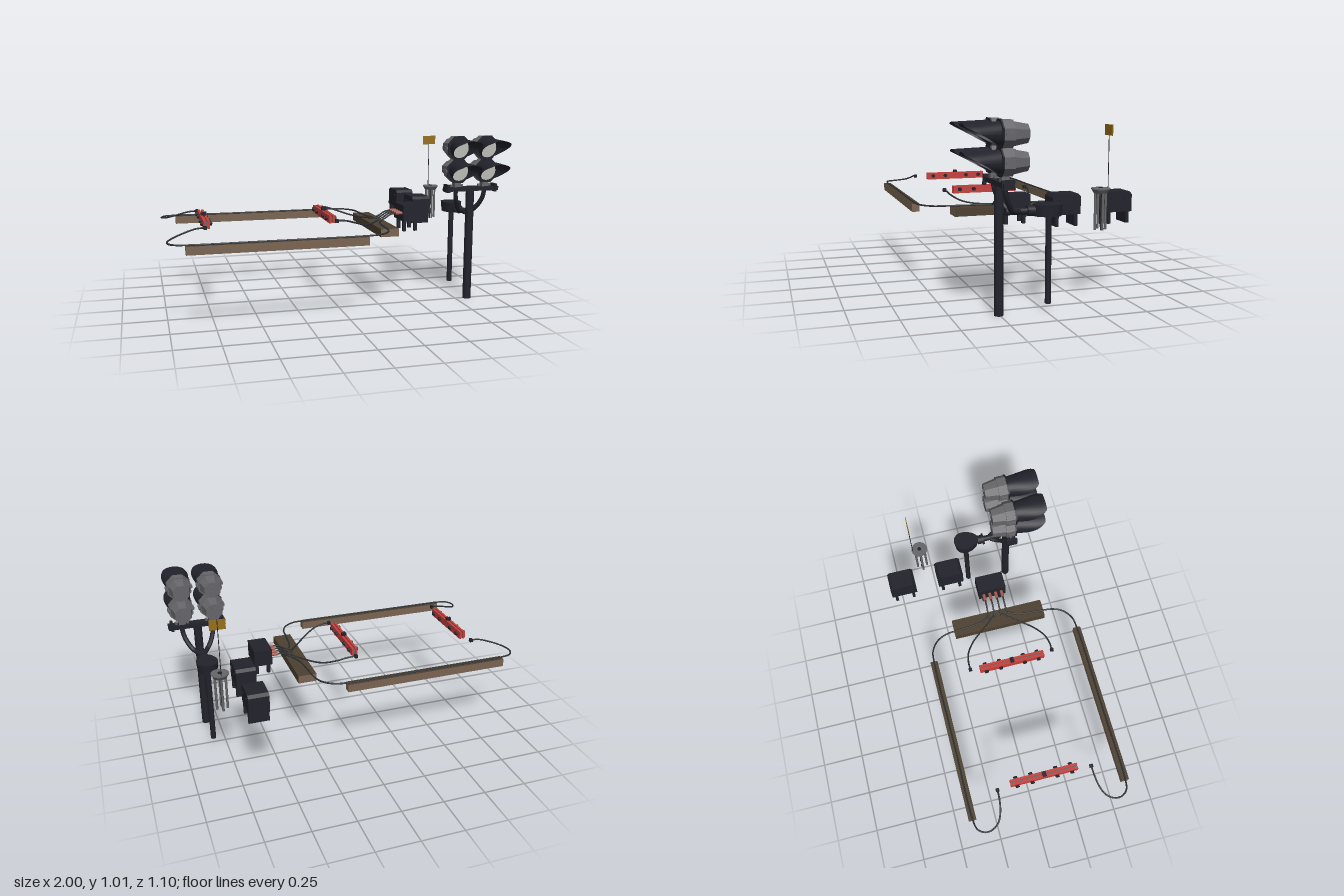
import * as THREE from 'three';

const mat = (name, color, side = THREE.FrontSide) => {
  const m = new THREE.MeshStandardMaterial({ color, side });
  m.name = name;
  return m;
};

export function createModel() {
  const black = mat('dark metal', 0x22222c, THREE.DoubleSide);
  const grey = mat('housing grey', 0x66666a);
  const lensMat = mat('lens', 0xbcbcb6);
  const wood = mat('wood side', 0x7a6452);
  const darkWood = mat('weathered wood', 0x4c4030);
  const red = mat('clamp red', 0xc6403c);
  const copper = mat('plug copper', 0xa85c50);
  const yellow = mat('sign yellow', 0x96701c, THREE.DoubleSide);
  const cableMat = mat('cable', 0x2c2f31);

  const model = new THREE.Group();
  const group = (name, parent = model) => {
    const g = new THREE.Group();
    g.name = name;
    parent.add(g);
    return g;
  };
  const add = (parent, name, geo, m, x = 0, y = 0, z = 0) => {
    const mesh = new THREE.Mesh(geo, m);
    mesh.name = name;
    mesh.position.set(x, y, z);
    parent.add(mesh);
    return mesh;
  };
  // box given by its limits on each axis
  const box = (parent, name, m, x0, x1, y0, y1, z0, z1) =>
    add(parent, name, new THREE.BoxGeometry(x1 - x0, y1 - y0, z1 - z0), m, (x0 + x1) / 2, (y0 + y1) / 2, (z0 + z1) / 2);
  const post = (parent, name, m, r, x, z, y0, y1, sides = 16) =>
    add(parent, name, new THREE.CylinderGeometry(r, r, y1 - y0, sides), m, x, (y0 + y1) / 2, z);
  const tube = (parent, name, m, r, pts, n = 40) => {
    const curve = new THREE.CatmullRomCurve3(pts.map(p => new THREE.Vector3(...p)), false, 'centripetal');
    return add(parent, name, new THREE.TubeGeometry(curve, n, r, 8), m);
  };
  // flat-sided frustum along z, rFront towards +z
  const octagon = (rFront, rBack, depth) => {
    const g = new THREE.CylinderGeometry(rFront, rBack, depth, 8).rotateY(Math.PI / 8).rotateX(Math.PI / 2).toNonIndexed();
    g.computeVertexNormals();
    return g;
  };

  // wooden beams: face order +x -x +y -y +z -z
  const sideWood = [wood, wood, darkWood, darkWood, wood, wood];
  const crossWood = [darkWood, darkWood, darkWood, darkWood, wood, wood];
  box(model, 'frontBeam', sideWood, -0.905, 0.095, 0.435, 0.482, 0.505, 0.55);
  box(model, 'backBeam', sideWood, -0.905, 0.095, 0.435, 0.482, -0.418, -0.373);
  box(model, 'crossBeam', crossWood, 0.225, 0.335, 0.435, 0.482, -0.225, 0.355);

  // cables, mirrored about the track centre line
  const midZ = 0.066;
  for (const s of [1, -1]) {
    const g = group(s > 0 ? 'frontCables' : 'backCables');
    const at = pts => pts.map(([x, y, d]) => [x, y, midZ + s * d]);
    tube(g, 'outerCable', cableMat, 0.005, at([
      [-0.785, 0.54, 0.282], [-0.84, 0.535, 0.284], [-0.91, 0.515, 0.297], [-0.965, 0.498, 0.325], [-0.993, 0.49, 0.37],
      [-0.993, 0.487, 0.41], [-0.965, 0.487, 0.448], [-0.9, 0.486, 0.461], [-0.5, 0.485, 0.461], [0.09, 0.485, 0.461],
      [0.16, 0.486, 0.452], [0.22, 0.486, 0.41], [0.25, 0.487, 0.35], [0.26, 0.487, 0.26], [0.275, 0.487, 0.12], [0.305, 0.49, 0.055]
    ]), 120);
    tube(g, 'innerCable', cableMat, 0.005, at([
      [-0.035, 0.54, 0.258], [0.02, 0.537, 0.257], [0.08, 0.52, 0.243], [0.15, 0.497, 0.2],
      [0.2, 0.488, 0.148], [0.25, 0.487, 0.085], [0.305, 0.49, 0.02]
    ]));
    for (const [x, d] of [[-0.785, 0.282], [-0.032, 0.258]]) {
      const z = midZ + s * d;
      box(g, 'cableEnd', black, x - 0.009, x + 0.009, 0.528, 0.548, z - 0.01, z + 0.01);
    }
  }

  // rail clamps: paired red bars held by cross bolts
  for (const x of [-0.768, -0.045]) {
    const g = group('railClamp');
    for (const s of [-1, 1]) box(g, 'clampBar', red, x + s * 0.011 - 0.007, x + s * 0.011 + 0.007, 0.515, 0.56, -0.135, 0.268);
    box(g, 'clampCore', grey, x - 0.004, x + 0.004, 0.525, 0.55, -0.13, 0.263);
    for (const z of [-0.098, -0.008, 0.142, 0.23]) {
      add(g, 'bolt', new THREE.CylinderGeometry(0.005, 0.005, 0.068, 8).rotateZ(Math.PI / 2), black, x, 0.54, z);
      for (const s of [-1, 1])
        add(g, 'boltHead', new THREE.CylinderGeometry(0.012, 0.012, 0.012, 8).rotateZ(Math.PI / 2), black, x + s * 0.026, 0.54, z);
    }
    box(g, 'topLug', black, x - 0.015, x + 0.015, 0.555, 0.576, 0.056, 0.078);
  }

  // junction box with four plugs and leads
  const junction = group('junctionBox');
  box(junction, 'body', black, 0.437, 0.545, 0.48, 0.578, -0.02, 0.153);
  for (const x of [0.455, 0.527]) for (const z of [0.015, 0.118])
    box(junction, 'leg', black, x - 0.01, x + 0.01, 0.415, 0.48, z - 0.01, z + 0.01);
  [0.01, 0.048, 0.086, 0.124].forEach((z, i) => {
    add(junction, 'plug', new THREE.CylinderGeometry(0.01, 0.01, 0.042, 10).rotateZ(Math.PI / 2), copper, 0.417, 0.53, z);
    const end = midZ + (i - 1.5) * 0.04;
    tube(junction, 'lead', cableMat, 0.005, [[0.4, 0.53, z], [0.365, 0.526, z], [0.325, 0.502, (z + end) / 2], [0.285, 0.488, end]], 20);
  });

  // relay cabinets with chamfered roofs on plate legs
  const profile = new THREE.Shape([[-0.081, 0], [0.081, 0], [0.081, 0.096], [0.066, 0.112], [-0.066, 0.112], [-0.081, 0.096]]
    .map(p => new THREE.Vector2(...p)));
  for (const z of [-0.168, -0.473]) {
    const g = group('relayCabinet');
    const geo = new THREE.ExtrudeGeometry(profile, { depth: 0.116, bevelEnabled: false }).translate(0, 0, -0.058).rotateY(Math.PI / 2);
    add(g, 'body', geo, black, 0.645, 0.48, z);
    for (const s of [-1, 1]) {
      box(g, 'legPlate', black, 0.587, 0.703, 0.417, 0.482, z + s * 0.055 - 0.009, z + s * 0.055 + 0.009);
      for (const t of [-1, 1]) box(g, 'hinge', black, 0.645 + t * 0.06 - 0.004, 0.645 + t * 0.06 + 0.004, 0.55, 0.562, z + s * 0.04 - 0.006, z + s * 0.04 + 0.006);
    }
  }

  // antenna stand: dish on four legs, mast and sign
  const stand = group('antennaStand');
  const sx = 0.802, sz = -0.317;
  add(stand, 'dish', new THREE.CylinderGeometry(0.05, 0.036, 0.022, 24), grey, sx, 0.616, sz);
  add(stand, 'dishRim', new THREE.CylinderGeometry(0.05, 0.05, 0.006, 24), grey, sx, 0.629, sz);
  add(stand, 'dishCap', new THREE.CylinderGeometry(0.012, 0.012, 0.004, 12), black, sx, 0.633, sz);
  for (const [dx, dz] of [[0, 0.03], [0, -0.03], [0.03, 0], [-0.03, 0]])
    post(stand, 'standLeg', grey, 0.007, sx + dx, sz + dz, 0.41, 0.61, 8);
  tube(stand, 'standCable', cableMat, 0.005, [[sx, 0.605, sz], [sx, 0.55, sz + 0.004], [sx, 0.49, sz - 0.006], [sx, 0.45, sz], [sx, 0.405, sz - 0.008]]);
  post(stand, 'mast', black, 0.0022, sx, -0.36, 0.63, 0.965, 6);
  box(stand, 'sign', yellow, 0.758, 0.846, 0.908, 0.965, -0.361, -0.357);

  // egg-shaped sensor head on its own post
  const cx = 0.825;
  const sensor = group('sensorPost');
  post(sensor, 'post', black, 0.016, cx, -0.015, 0.04, 0.51);
  const egg = new THREE.CylinderGeometry(1, 0.9, 0.062, 32);
  const p = egg.attributes.position;
  for (let i = 0; i < p.count; i++) p.setXYZ(i, p.getX(i) * 0.062 * (1 - 0.2 * p.getZ(i)), p.getY(i), p.getZ(i) * 0.08);
  egg.computeVertexNormals();
  add(sensor, 'head', egg, black, cx, 0.536, -0.009);
  add(sensor, 'arm', new THREE.CylinderGeometry(0.018, 0.018, 0.17, 12).rotateX(Math.PI / 2), black, cx, 0.535, 0.135);
  add(sensor, 'armCollar', new THREE.CylinderGeometry(0.028, 0.028, 0.04, 12).rotateX(Math.PI / 2), black, cx, 0.535, 0.085);
  box(sensor, 'armClamp', black, cx - 0.038, cx + 0.038, 0.53, 0.542, 0.095, 0.107);

  // signal mast with platform and curved braces
  const signal = group('signalMast');
  post(signal, 'pole', black, 0.025, cx, 0.255, 0, 0.69, 12);
  box(signal, 'platform', black, 0.658, 0.998, 0.675, 0.7, 0.228, 0.284);
  for (const s of [-1, 1]) {
    tube(signal, 'brace', black, 0.014, [[cx + s * 0.095, 0.685, 0.255], [cx + s * 0.088, 0.63, 0.245],
      [cx + s * 0.066, 0.575, 0.22], [cx + s * 0.04, 0.543, 0.195], [cx + s * 0.012, 0.535, 0.15]]);
    box(signal, 'endLug', black, cx + s * 0.152 - 0.008, cx + s * 0.152 + 0.008, 0.668, 0.715, 0.222, 0.29);
  }

  // hood: flared sleeve, long on top and cut back underneath
  const makeHood = () => {
    const n = 32, rows = 6, pos = [], idx = [];
    for (let j = 0; j <= rows; j++) for (let i = 0; i <= n; i++) {
      const a = (i / n) * Math.PI * 2, s = Math.sin(a);
      const f = (j / rows) * Math.min(1, 0.03 + (1 + s) / 1.8);
      const flare = 0.06 + 0.024 * Math.min(1, f / 0.75);
      pos.push(Math.cos(a) * flare, s * (0.061 - 0.008 * f), f * 0.19);
    }
    for (let j = 0; j < rows; j++) for (let i = 0; i < n; i++) {
      const a = j * (n + 1) + i, b = a + n + 1;
      idx.push(a, a + 1, b, b, a + 1, b + 1);
    }
    const g = new THREE.BufferGeometry();
    g.setAttribute('position', new THREE.Float32BufferAttribute(pos, 3));
    g.setIndex(idx);
    g.computeVertexNormals();
    return g;
  };

  // four signal lamps
  for (const x of [0.735, 0.915]) {
    for (const y of [0.935, 0.798]) {
      const g = group('lamp', signal);
      g.position.set(x, y, 0.28);
      add(g, 'frame', octagon(0.074, 0.074, 0.056), grey, 0, 0, -0.032);
      add(g, 'frontRing', octagon(0.077, 0.077, 0.008), black);
      add(g, 'backHousing', octagon(0.066, 0.05, 0.082), grey, 0, 0, -0.1);
      add(g, 'lens', new THREE.CircleGeometry(0.058, 24), lensMat, 0, 0, 0.006);
      add(g, 'hood', makeHood(), black);
      box(g, 'rearLatch', grey, -0.008, 0.008, 0.01, 0.026, -0.148, -0.138);
      for (const s of [-1, 1]) box(g, 'sideLug', grey, s * 0.072 - 0.006, s * 0.072 + 0.006, -0.008, 0.008, -0.05, -0.01);
    }
    box(signal, 'lampJoint', black, x - 0.02, x + 0.02, 0.858, 0.876, 0.235, 0.275);
    box(signal, 'lampFoot', grey, x - 0.02, x + 0.02, 0.7, 0.735, 0.235, 0.275);
    for (const s of [-1, 1]) box(signal, 'footBolt', grey, x + s * 0.035 - 0.006, x + s * 0.035 + 0.006, 0.7, 0.715, 0.248, 0.262);
  }
  return model;
}
